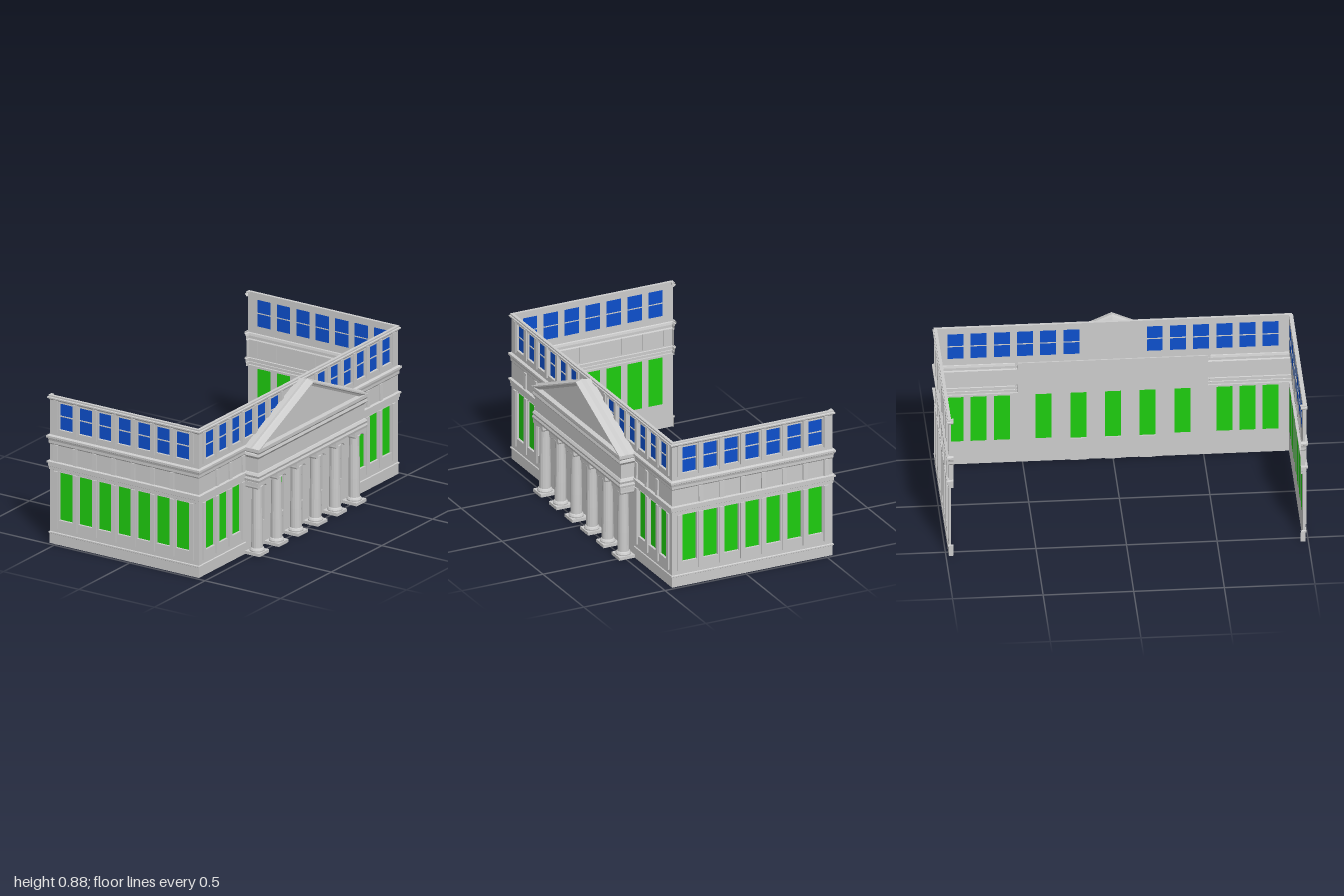
import * as THREE from 'three';

const mat = (color) => new THREE.MeshStandardMaterial({ color, side: THREE.DoubleSide });
const grey = mat(0xcccccc), green = mat(0x1ecc0f), blue = mat(0x0d4fcc);
const WX = 0.447, WZ = 0.983, END = -0.54, T = 0.012;

function add(parent, name, geo, material = grey, x = 0, y = 0, z = 0) {
  const m = new THREE.Mesh(geo, material);
  m.name = name;
  m.position.set(x, y, z);
  parent.add(m);
  return m;
}

// box given by its ranges
function box(parent, name, [x0, x1], [y0, y1], [z0, z1], material = grey) {
  return add(parent, name, new THREE.BoxGeometry(x1 - x0, y1 - y0, z1 - z0), material,
    (x0 + x1) / 2, (y0 + y1) / 2, (z0 + z1) / 2);
}

// flat-shaded surface through rows of points
function loft(rows) {
  const pos = [];
  for (let i = 0; i + 1 < rows.length; i++) {
    for (let j = 0; j + 1 < rows[i].length; j++) {
      const a = rows[i][j], b = rows[i][j + 1], c = rows[i + 1][j + 1], d = rows[i + 1][j];
      pos.push(...a, ...b, ...c, ...a, ...c, ...d);
    }
  }
  const g = new THREE.BufferGeometry();
  g.setAttribute('position', new THREE.Float32BufferAttribute(pos, 3));
  g.computeVertexNormals();
  return g;
}

// moulding: profile [offset, y] swept with mitres; path points [x, z, outX, outZ]
const moulding = (profile, path) =>
  loft(profile.map(([o, y]) => path.map(([x, z, nx, nz]) => [x + nx * o, y, z + nz * o])));

const rect = (P, x0, x1, y0, y1) => new P([[x0, y0], [x1, y0], [x1, y1], [x0, y1]]
  .map(([x, y]) => new THREE.Vector2(x, y)));
const makeShape = (...a) => rect(THREE.Shape, ...a);
const makeHole = (...a) => rect(THREE.Path, ...a);

// thin wall panel with openings, outer face on z = 0
function panel(parent, name, x0, x1, y0, y1, holes) {
  const s = makeShape(x0, x1, y0, y1);
  s.holes = holes.map((h) => makeHole(...h));
  add(parent, name, new THREE.ExtrudeGeometry(s, { depth: T, bevelEnabled: false }), grey, 0, 0, -T);
}

// recessed pane with a slim frame, and a cross bar when wanted
function windowUnit(parent, name, [x0, x1, y0, y1], material, bar) {
  const f = 0.004;
  add(parent, name + 'Pane', new THREE.PlaneGeometry(x1 - x0, y1 - y0), material,
    (x0 + x1) / 2, (y0 + y1) / 2, -T);
  const s = makeShape(x0 - f, x1 + f, y0 - f, y1 + f);
  s.holes.push(makeHole(x0, x1, y0, y1));
  add(parent, name + 'Frame', new THREE.ExtrudeGeometry(s, { depth: T + 0.002, bevelEnabled: false }),
    grey, 0, 0, -T);
  if (bar) {
    const ym = (y0 + y1) / 2;
    box(parent, name + 'Bar', [x0, x1], [ym - 0.003, ym + 0.003], [-T - 0.002, -T + 0.004]);
  }
}

// one facade: two storeys of windows, pilasters and frieze brackets
function facade(name, x0, x1, low, high, lowPil, highPil, brackets, doors = []) {
  const g = new THREE.Group();
  g.name = name;
  const w = 0.044;
  const lowWin = low.map((c) => [c - w, c + w, 0.146, 0.428]);
  const highWin = high.map((c) => [c - w, c + w, 0.677, 0.833]);
  const doorHoles = doors.map((c) => [c - w, c + w, 0.002, 0.428]);
  panel(g, 'lowerWall', x0, x1, 0, 0.44, [...lowWin, ...doorHoles]);
  panel(g, 'atticWall', x0, x1, 0.635, 0.862, highWin);
  lowWin.forEach((r) => windowUnit(g, 'lowerWindow', r, green, false));
  highWin.forEach((r) => windowUnit(g, 'atticWindow', r, blue, true));
  for (const c of doors) {
    windowUnit(g, 'doorWindow', [c - w, c + w, 0.14, 0.428], green, false);
    box(g, 'door', [c - w, c + w], [0, 0.137], [-T - 0.006, -T]);
    for (const sx of [-1, 1]) for (let r = 0; r < 3; r++) {
      const px = c + sx * 0.02, py = 0.035 + r * 0.032;
      box(g, 'doorPanel', [px - 0.014, px + 0.014], [py, py + 0.02], [-T, -T + 0.004]);
    }
  }
  const p = 0.0135;
  for (const c of lowPil) box(g, 'lowerPilaster', [c - p, c + p], [0.095, 0.43], [0, 0.008]);
  for (const c of highPil) box(g, 'atticPilaster', [c - p, c + p], [0.66, 0.845], [0, 0.008]);
  // brackets lean out slightly towards the foot
  for (const c of brackets) {
    const b = box(g, 'friezeBracket', [c - p, c + p], [0.49, 0.585], [-0.004, 0.008]);
    const a = b.geometry.attributes.position;
    for (let i = 0; i < a.count; i++) if (a.getY(i) < 0 && a.getZ(i) > 0) a.setZ(i, a.getZ(i) + 0.003);
    b.geometry.computeVertexNormals();
  }
  return g;
}

function portico() {
  const g = new THREE.Group();
  g.name = 'portico';
  const cx = 0.495;

  // columns
  const shaft = [[0, 0.017], [0.042, 0.017], [0.043, 0.025], [0.038, 0.034], [0.033, 0.038], [0.0325, 0.15],
    [0.029, 0.392], [0.034, 0.395], [0.034, 0.4], [0.03, 0.403], [0.04, 0.415], [0, 0.415]]
    .map(([r, y]) => new THREE.Vector2(r, y));
  for (const z of [-0.479, -0.288, -0.096, 0.096, 0.288, 0.479]) {
    const c = new THREE.Group();
    c.name = 'column';
    c.position.set(cx, 0, z);
    box(c, 'columnPlinth', [-0.048, 0.048], [0, 0.018], [-0.048, 0.048]);
    const s = add(c, 'columnShaft', new THREE.LatheGeometry(shaft, 16).toNonIndexed());
    s.geometry.computeVertexNormals();
    box(c, 'columnAbacus', [-0.044, 0.044], [0.412, 0.434], [-0.056, 0.056]);
    for (const sx of [-1, 1]) {
      const v = add(c, 'capitalScroll', new THREE.CylinderGeometry(0.013, 0.013, 0.08, 10), grey, 0, 0.407, sx * 0.042);
      v.rotation.z = Math.PI / 2;
    }
    g.add(c);
  }

  // entablature
  const X = 0.533, Z = 0.525;
  box(g, 'entablatureCore', [WX - T, X], [0.432, 0.63], [-Z, Z]);
  add(g, 'entablatureMoulding', moulding(
    [[0, 0.432], [0.01, 0.436], [0.013, 0.45], [0.008, 0.461], [0.012, 0.474], [0.004, 0.487], [0, 0.49],
      [0, 0.572], [0.004, 0.578], [0.012, 0.588], [0.007, 0.603], [0.014, 0.613], [0.014, 0.632], [-0.04, 0.634]],
    [[WX, Z, 0, 1], [X, Z, 1, 1], [X, -Z, 1, -1], [WX, -Z, 0, -1]]));

  // pediment: tympanum wedge and raking cornice
  const tri = new THREE.Shape([[-0.53, 0.625], [0.53, 0.625], [0, 0.862]].map(([x, y]) => new THREE.Vector2(x, y)));
  const t = add(g, 'tympanum', new THREE.ExtrudeGeometry(tri, { depth: 0.07, bevelEnabled: false }));
  t.rotation.y = Math.PI / 2;
  t.position.x = WX;
  const rake = [[WX, -0.034], [WX, -0.01], [0.488, -0.005], [0.505, 0], [0.515, -0.005], [0.546, -0.012],
    [0.546, -0.02], [0.538, -0.026], [0.532, -0.038], [0.515, -0.038], [WX, -0.034]];
  add(g, 'rakingCornice', loft(rake.map(([x, o]) =>
    [[x, 0.64 + o, 0.54], [x, 0.88 + o, 0], [x, 0.64 + o, -0.54]])));
  return g;
}

export function createModel() {
  const model = new THREE.Group();
  model.name = 'classicalBuilding';
  const series = (start, step, n) => Array.from({ length: n }, (_, i) => start + i * step);
  const mirror = (a) => [...a, ...a.map((v) => -v)];

  // end walls
  for (const s of [1, -1]) {
    const f = facade('endWall', END, WX, series(-0.434, 0.129, 7), series(-0.434, 0.129, 7),
      series(-0.499, 0.1285, 8), series(-0.499, 0.1285, 8), series(-0.499, 0.1285, 7));
    f.position.z = s * WZ;
    f.scale.z = s;
    model.add(f);
  }

  // long entrance wall
  const outer = [0.87, 0.742, 0.614];
  const long = facade('entranceWall', -WZ, WZ, mirror([...outer, 0.383]), mirror([...outer, 0.486, 0.358, 0.23]),
    mirror([0.935, 0.806, 0.678, 0.55]), mirror([0.935, 0.806, 0.678, 0.55, 0.422, 0.294, 0.166]),
    mirror([0.806, 0.678, 0.55]), [-0.19, 0, 0.19]);
  long.rotation.y = Math.PI / 2;
  long.position.x = WX;
  model.add(long);

  // mouldings, one mirrored half at a time
  const path = (zEnd) => [[END, WZ - 0.025, -1, 0], [END, WZ, -1, 1], [WX, WZ, 1, 1], [WX, zEnd, 1, 0]];
  const bands = {
    baseMoulding: [[0.001, 0], [0.001, 0.058], [0.006, 0.061], [0.006, 0.068], [0.001, 0.072]],
    friezeAndCornices: [[0, 0.434], [0.004, 0.436], [0.004, 0.452], [0.007, 0.454], [0.007, 0.472], [0.014, 0.474],
      [0.014, 0.483], [0, 0.487], [0, 0.583], [0.005, 0.59], [0.005, 0.605], [0.009, 0.618], [0.015, 0.622],
      [0.015, 0.634], [0.004, 0.639], [0, 0.64]],
    roofCornice: [[0, 0.842], [0.006, 0.85], [0.012, 0.853], [0.012, 0.86], [0.006, 0.863], [0.006, 0.871],
      [-0.012, 0.871], [-0.012, 0.858]],
  };
  for (const s of [1, -1]) {
    const half = new THREE.Group();
    half.name = 'mouldings';
    half.scale.z = s;
    for (const [name, profile] of Object.entries(bands)) {
      add(half, name, moulding(profile, path(name === 'roofCornice' ? 0 : 0.525)));
    }
    model.add(half);
  }

  model.add(portico());
  return model;
}
